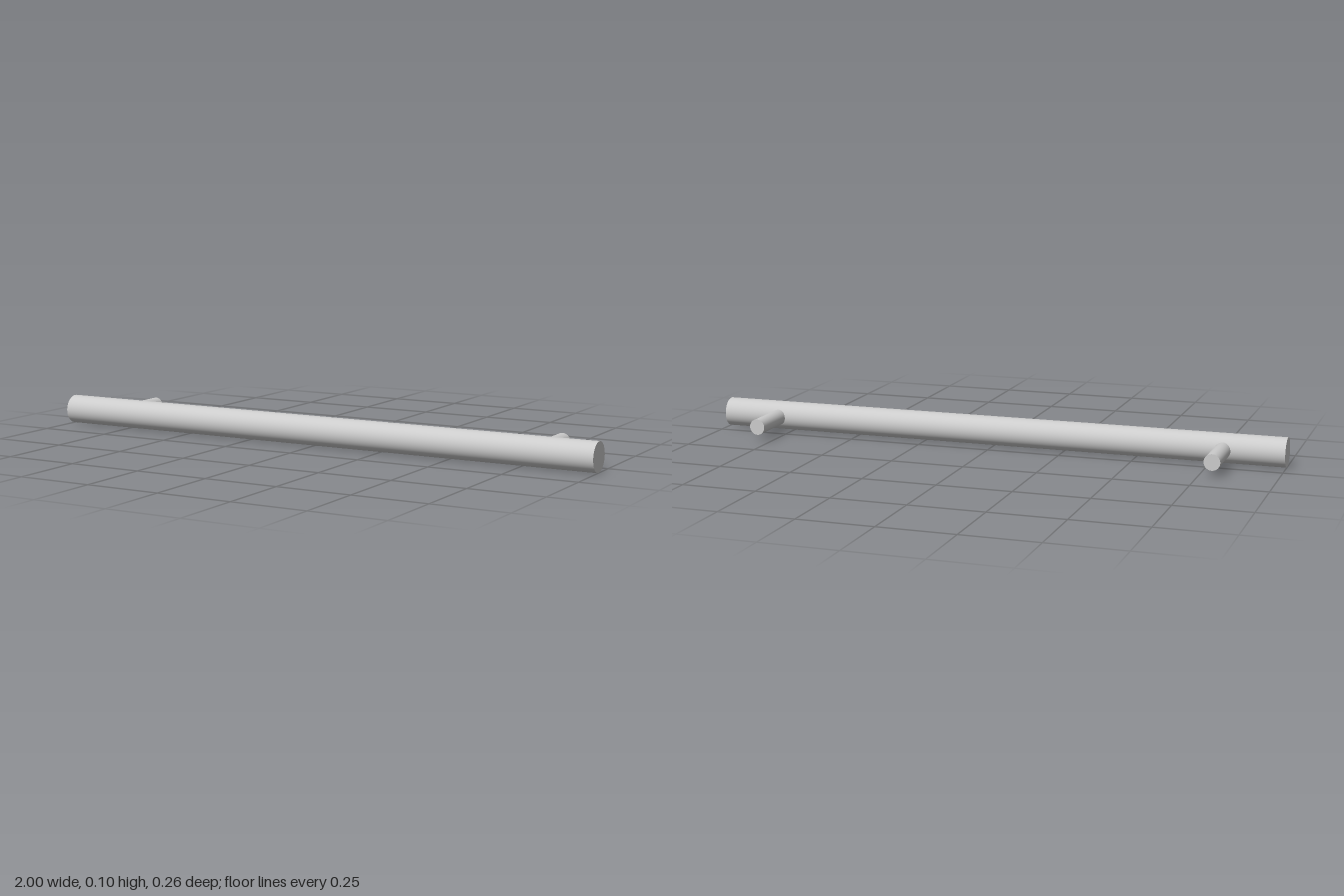
import * as THREE from 'three';

const BAR_RADIUS = 0.0495;
const POST_RADIUS = 0.027;
const BACK = -0.132;
const BAR_Z = 0.0825;

export function createModel() {
  const group = new THREE.Group();
  group.name = 'barHandle';
  const material = new THREE.MeshStandardMaterial({ color: 0xcccccc });

  // Long round grip running along x
  const bar = new THREE.Mesh(new THREE.CylinderGeometry(BAR_RADIUS, BAR_RADIUS, 2, 64), material);
  bar.name = 'gripBar';
  bar.rotation.z = Math.PI / 2;
  bar.position.set(0, BAR_RADIUS, BAR_Z);
  group.add(bar);

  // Two mounting posts reaching back from inside the bar
  const front = 0.06;
  const postGeometry = new THREE.CylinderGeometry(POST_RADIUS, POST_RADIUS, front - BACK, 48);
  postGeometry.rotateX(Math.PI / 2);
  for (const side of [-1, 1]) {
    const post = new THREE.Mesh(postGeometry, material);
    post.name = side > 0 ? 'leftPost' : 'rightPost';
    post.position.set(side * 0.795, BAR_RADIUS, (front + BACK) / 2);
    group.add(post);
  }
  return group;
}
